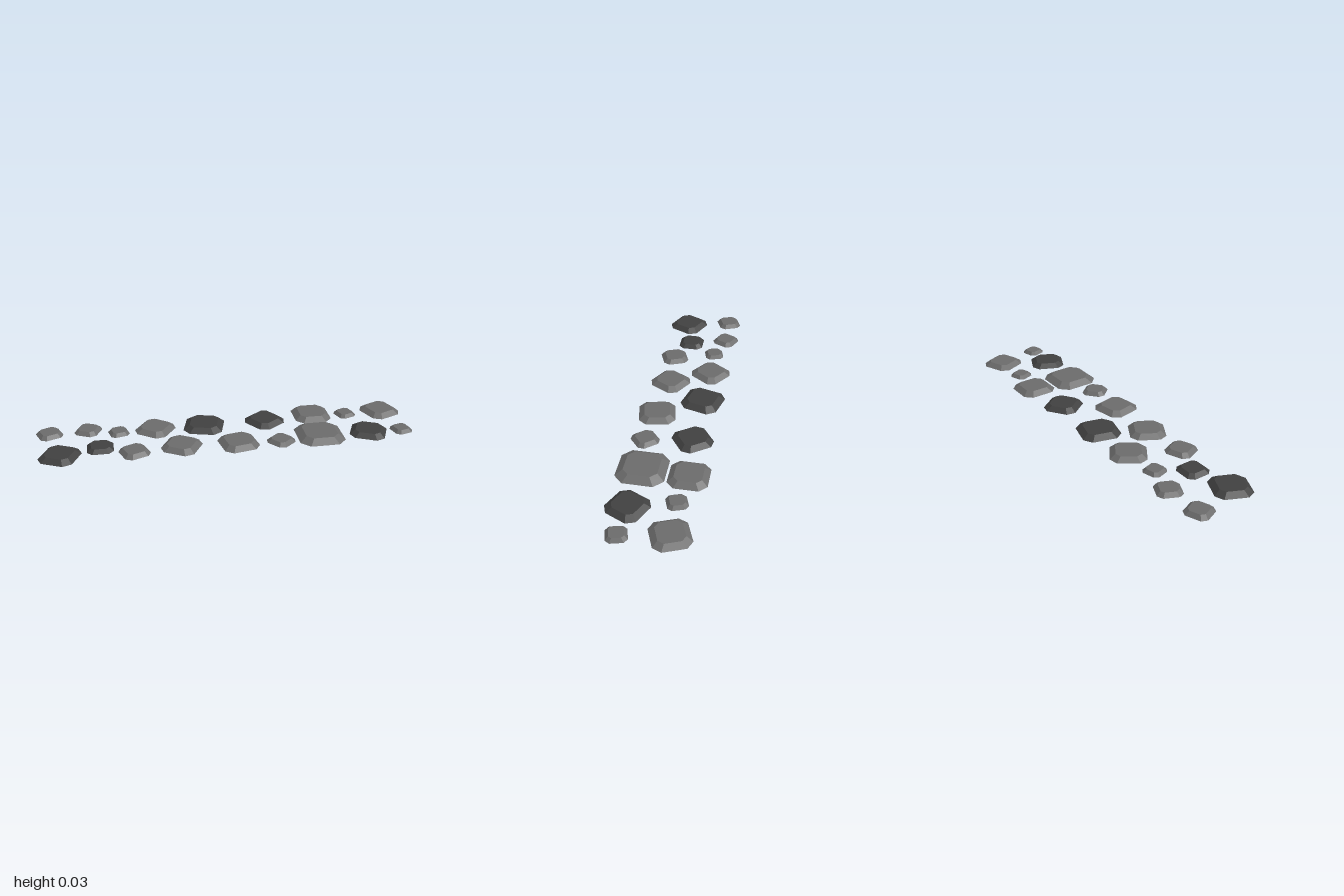
import * as THREE from 'three';

const LIGHT = 0x6b6b6b;
const DARK = 0x404040;

// x, z, radius, turn in degrees, dark stone
const STONES = [
  // back row
  [-0.93, -0.133, 0.074, 22],
  [-0.727, -0.142, 0.075, -25],
  [-0.567, -0.094, 0.06, 15],
  [-0.371, -0.104, 0.109, -35],
  [-0.107, -0.101, 0.122, -15, true],
  [0.227, -0.102, 0.109, 35, true],
  [0.497, -0.131, 0.117, 0],
  [0.685, -0.107, 0.06, 20],
  [0.89, -0.115, 0.109, 22],
  // front row
  [-0.872, 0.107, 0.111, -25, true],
  [-0.668, 0.056, 0.08, 0, true],
  [-0.497, 0.128, 0.084, 22],
  [-0.252, 0.104, 0.11, -30],
  [0.043, 0.12, 0.114, 11],
  [0.267, 0.136, 0.075, 40],
  [0.483, 0.102, 0.144, 0],
  [0.75, 0.112, 0.109, -25, true],
  [0.93, 0.12, 0.06, 15],
];

// Square slab with cut corners, sloping sides, flat top and open underside
function slabGeometry(radius) {
  const height = 0.011 + 0.11 * radius;
  const profile = [[radius, 0], [radius * 0.7, height], [0, height]]
    .map(([r, y]) => new THREE.Vector2(r, y));
  const geometry = new THREE.LatheGeometry(profile, 8);
  const pos = geometry.attributes.position;
  // Pair up the eight corners so that long and short sides alternate
  for (let i = 0; i < pos.count; i++) {
    const r = Math.hypot(pos.getX(i), pos.getZ(i));
    const step = Math.floor(i / profile.length);
    const shift = step % 2 ? -9.5 : 9.5;
    const angle = THREE.MathUtils.degToRad(step * 45 + 22.5 + shift);
    pos.setX(i, r * Math.sin(angle));
    pos.setZ(i, r * Math.cos(angle));
  }
  geometry.computeVertexNormals();
  return geometry;
}

export function createModel() {
  const group = new THREE.Group();
  group.name = 'steppingStones';
  const makeMaterial = (color) => new THREE.MeshStandardMaterial({
    color, flatShading: true, side: THREE.DoubleSide,
  });
  const light = makeMaterial(LIGHT);
  const dark = makeMaterial(DARK);

  STONES.forEach(([x, z, radius, turn, isDark], i) => {
    const stone = new THREE.Mesh(slabGeometry(radius), isDark ? dark : light);
    stone.name = `${isDark ? 'darkStone' : 'lightStone'}${i + 1}`;
    stone.position.set(x, 0, z);
    stone.rotation.y = THREE.MathUtils.degToRad(turn);
    group.add(stone);
  });
  return group;
}
